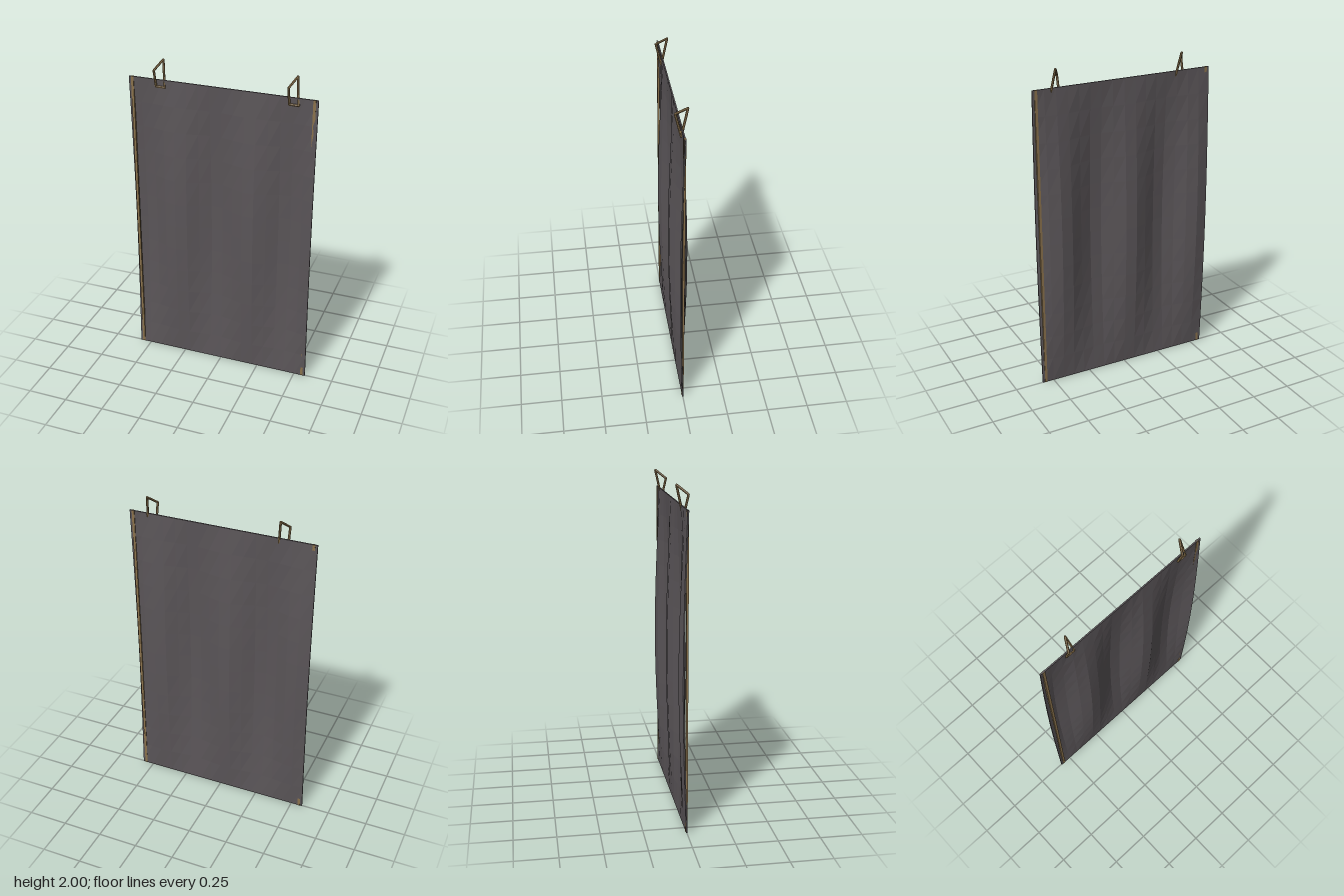
import * as THREE from 'three';

const W = 1.146, H = 1.88, THICK = 0.008;

const cloth = new THREE.MeshStandardMaterial({ color: 0x5a5558, flatShading: true });
cloth.name = 'charcoal cloth';
const bronze = new THREE.MeshStandardMaterial({ color: 0x8a724c, flatShading: true });
bronze.name = 'dull bronze';

// Rod between two points
function rod(a, b, radius) {
  const geo = new THREE.CylinderGeometry(radius, radius, a.distanceTo(b), 6);
  const mesh = new THREE.Mesh(geo, bronze);
  mesh.position.copy(a).add(b).multiplyScalar(0.5);
  mesh.quaternion.setFromUnitVectors(new THREE.Vector3(0, 1, 0), b.clone().sub(a).normalize());
  return mesh;
}

// Hanging cloth: vertical folds that fade out at the top and bottom hems
function makePanel() {
  const geo = new THREE.BoxGeometry(W, H, THICK, 16, 12, 1);
  geo.translate(0, H / 2, 0);
  const p = geo.attributes.position;
  for (let i = 0; i < p.count; i++) {
    const fold = -Math.sin((2 * Math.PI * (p.getX(i) + 0.16)) / 0.46);
    const fade = Math.sin((Math.PI * p.getY(i)) / H);
    p.setZ(i, p.getZ(i) + 0.036 * fold * fade);
  }
  geo.computeVertexNormals();
  const mesh = new THREE.Mesh(geo, cloth);
  mesh.name = 'clothPanel';
  return mesh;
}

// Bent four-cornered wire hook through the top hem
function makeHook(x, name) {
  const hook = new THREE.Group();
  hook.name = name;
  const r = 0.007;
  const corners = [
    [0.003, 1.837, 0.006], [0.003, 1.943, 0.031],
    [0.038, 1.993, -0.031], [0.057, 1.837, 0.006],
  ].map((c) => new THREE.Vector3(...c));
  corners.forEach((c, i) => {
    const side = rod(c, corners[(i + 1) % 4], r);
    side.name = 'hookWire';
    const joint = new THREE.Mesh(new THREE.IcosahedronGeometry(r, 0), bronze);
    joint.name = 'hookCorner';
    joint.position.copy(c);
    hook.add(side, joint);
  });
  hook.position.x = x;
  return hook;
}

export function createModel() {
  const group = new THREE.Group();
  group.name = 'hangingPanel';
  group.add(makePanel());

  // Straight trim bars along both side edges
  for (const s of [-1, 1]) {
    const bar = new THREE.Mesh(new THREE.BoxGeometry(0.016, H, 0.012), bronze);
    bar.name = s > 0 ? 'leftTrim' : 'rightTrim';
    bar.position.set(s * 0.551, H / 2, 0);
    group.add(bar);
  }

  group.add(makeHook(-0.403, 'rightHook'), makeHook(0.403, 'leftHook'));
  return group;
}
